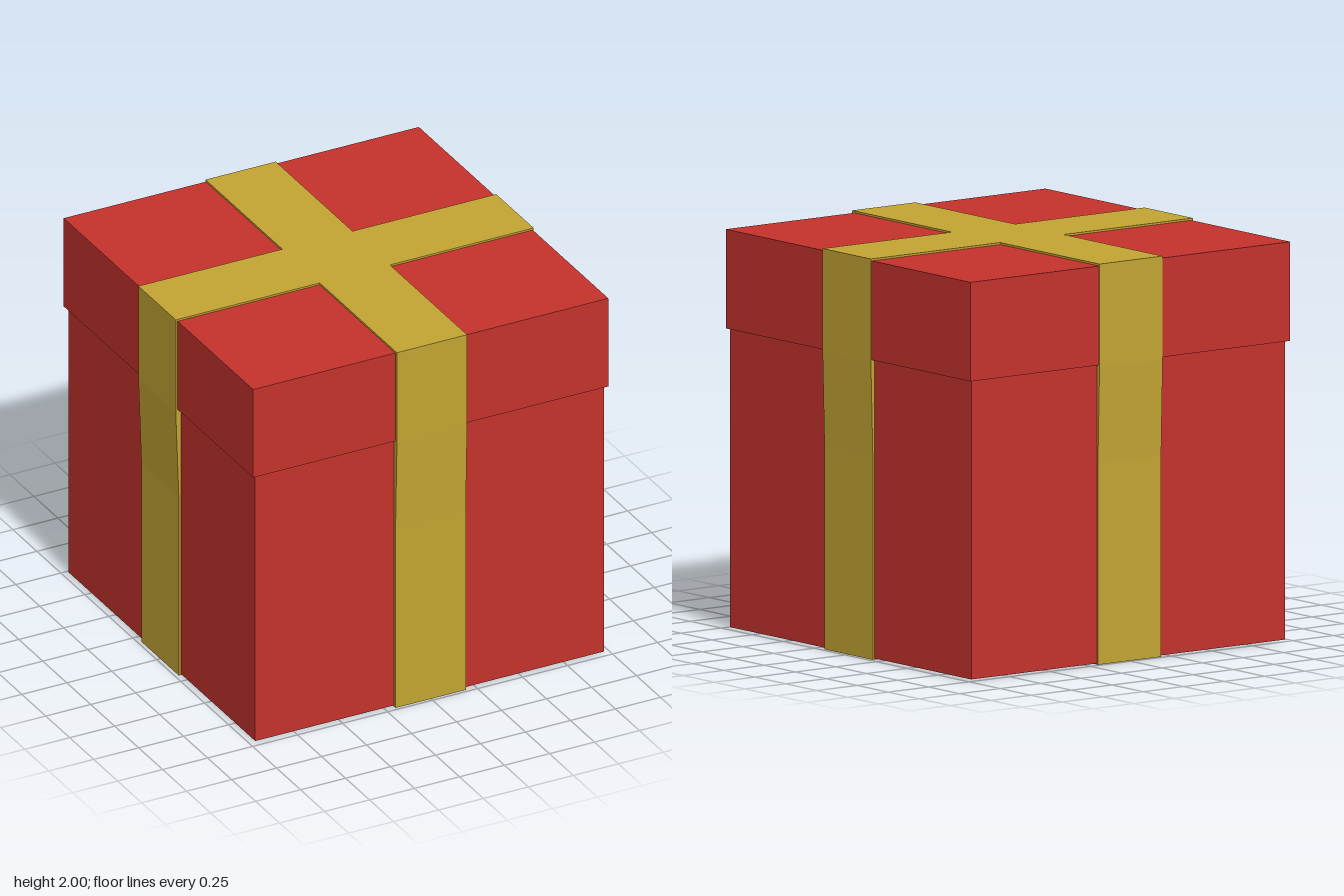
import * as THREE from 'three';

const red = new THREE.MeshStandardMaterial({ color: 0xc4322c });
const gold = new THREE.MeshStandardMaterial({ color: 0xc2a433 });

// Box given by its minimum and maximum corners
function boxBetween(name, min, max) {
  const size = max.map((v, i) => v - min[i]);
  const mesh = new THREE.Mesh(new THREE.BoxGeometry(...size), red);
  mesh.position.set(...max.map((v, i) => (v + min[i]) / 2));
  mesh.name = name;
  return mesh;
}

// Ribbon band: side profile wrapping the box, tapering in below the lid
function ribbon(name, lowNeg, lowPos, topNeg, topPos) {
  const shape = new THREE.Shape([
    [lowNeg, 0], [lowPos, 0], [lowPos, 1], [topPos, 1.48], [topPos, 1.995],
    [topNeg, 1.995], [topNeg, 1.48], [lowNeg, 1],
  ].map(([x, y]) => new THREE.Vector2(x, y)));
  const geometry = new THREE.ExtrudeGeometry(shape, { depth: 0.39, bevelEnabled: false });
  geometry.translate(0, 0, -0.197);
  const mesh = new THREE.Mesh(geometry, gold);
  mesh.name = name;
  return mesh;
}

export function createModel() {
  const model = new THREE.Group();
  model.name = 'giftBox';

  // Box and overhanging lid
  model.add(boxBetween('boxBody', [-0.968, 0.006, -0.978], [0.97, 1.5, 0.967]));
  model.add(boxBetween('lid', [-0.987, 1.492, -0.995], [0.987, 1.985, 0.981]));

  // Crossed ribbons, the second one turned to run front to back
  model.add(ribbon('sideToSideRibbon', -0.98, 0.98, -0.997, 0.992));
  const frontToBack = ribbon('frontToBackRibbon', -0.985, 0.984, -0.998, 0.998);
  frontToBack.rotation.y = -Math.PI / 2;
  frontToBack.position.x = -0.004;
  model.add(frontToBack);

  return model;
}
